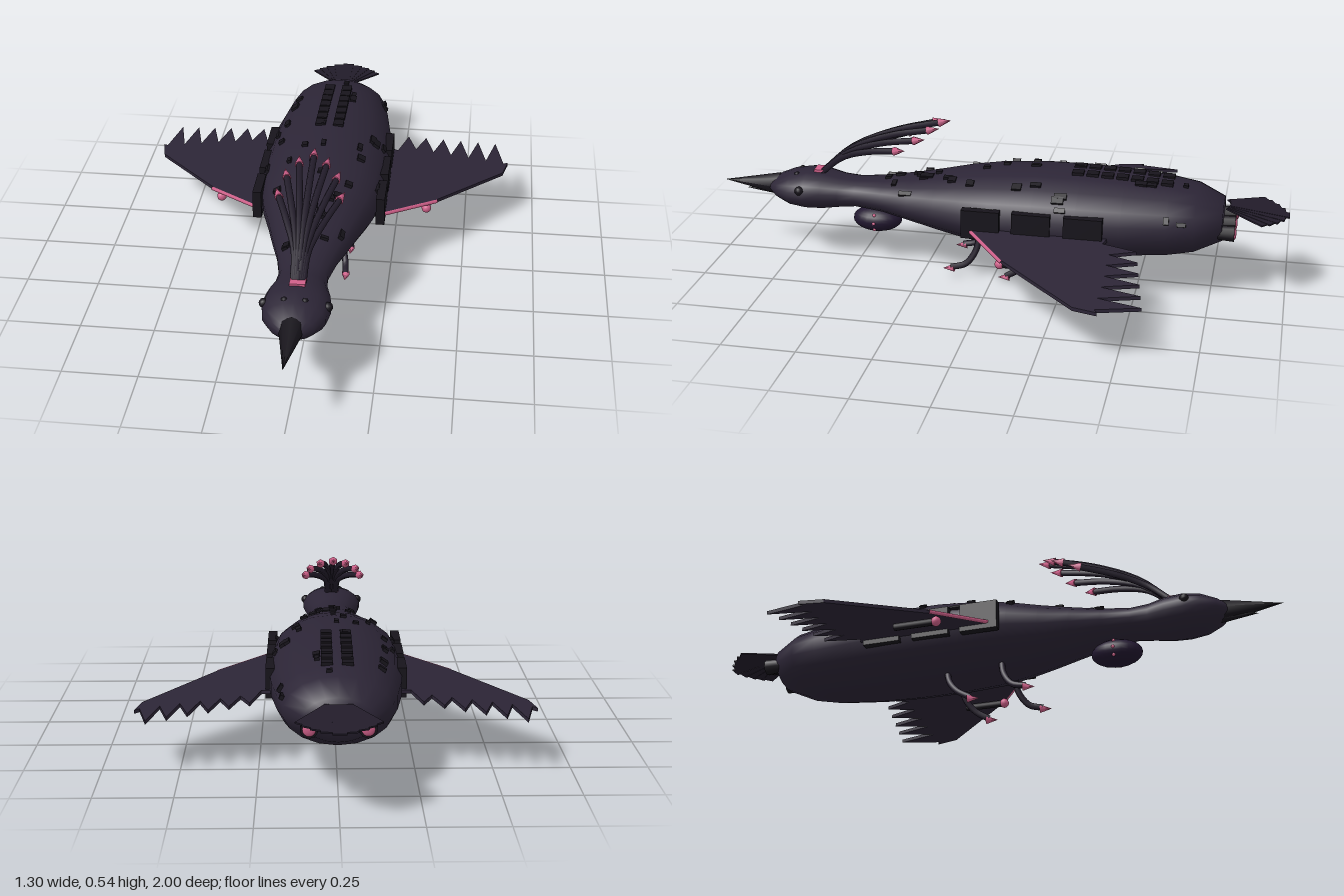
import * as THREE from 'three';
import { mergeVertices } from 'three/addons/utils/BufferGeometryUtils.js';

const V = (x, y, z) => new THREE.Vector3(x, y, z);
const mat = (color, extra = {}) => {
  const m = new THREE.MeshStandardMaterial({ color, ...extra });
  return m;
};

// Hull sections from tail to head: z, half width, bottom y, top y
const SECTIONS = [
  [-0.785, 0.001, 0.26, 0.262], [-0.78, 0.11, 0.19, 0.33], [-0.69, 0.17, 0.15, 0.37],
  [-0.6, 0.19, 0.132, 0.385], [-0.45, 0.212, 0.12, 0.396], [-0.3, 0.222, 0.116, 0.401],
  [-0.15, 0.222, 0.116, 0.4], [0, 0.212, 0.124, 0.388], [0.1, 0.19, 0.138, 0.373],
  [0.2, 0.158, 0.156, 0.352], [0.3, 0.13, 0.178, 0.333], [0.4, 0.1, 0.198, 0.317],
  [0.5, 0.08, 0.207, 0.309], [0.56, 0.085, 0.2, 0.314], [0.62, 0.102, 0.192, 0.327],
  [0.68, 0.11, 0.192, 0.33], [0.74, 0.1, 0.2, 0.32], [0.79, 0.07, 0.22, 0.3],
  [0.82, 0.035, 0.24, 0.28], [0.825, 0.001, 0.26, 0.262],
];

// Interpolated hull section: half width, centre y, half height
function sectionAt(z) {
  let i = 0;
  while (i < SECTIONS.length - 2 && SECTIONS[i + 1][0] < z) i++;
  const a = SECTIONS[i], b = SECTIONS[i + 1];
  const t = THREE.MathUtils.clamp((z - a[0]) / (b[0] - a[0]), 0, 1);
  const [w, lo, hi] = [1, 2, 3].map((k) => a[k] + (b[k] - a[k]) * t);
  return { w, cy: (lo + hi) / 2, h: (hi - lo) / 2 };
}

function hullGeometry() {
  const g = new THREE.LatheGeometry(SECTIONS.map((s) => new THREE.Vector2(s[1], s[0])), 18);
  g.rotateX(Math.PI / 2);
  g.deleteAttribute('uv');
  g.deleteAttribute('normal');
  const p = g.attributes.position;
  for (let i = 0; i < p.count; i++) {
    const s = sectionAt(p.getZ(i));
    p.setY(i, s.cy + (p.getY(i) * s.h) / s.w);
  }
  const merged = mergeVertices(g, 1e-5);
  merged.computeVertexNormals();
  return merged;
}

// Swept wing plate with a saw-tooth row of trailing feathers
function wingGeometry() {
  const s = new THREE.Shape();
  s.moveTo(0.15, -0.09);
  s.lineTo(0.22, -0.05);
  s.lineTo(0.4, 0.095);
  s.lineTo(0.63, 0.36);
  s.lineTo(0.648, 0.44);
  for (let i = 0; i < 6; i++) {
    s.lineTo(0.632 - i * 0.065, 0.43);
    s.lineTo(0.6 - i * 0.065, 0.572 - i * 0.011);
  }
  s.lineTo(0.242, 0.4);
  s.lineTo(0.15, 0.43);
  s.closePath();
  const g = new THREE.ExtrudeGeometry(s, { depth: 0.012, bevelEnabled: false });
  g.rotateX(-Math.PI / 2);
  // turn shape y into -z and droop towards the tip
  const p = g.attributes.position;
  for (let i = 0; i < p.count; i++) p.setY(i, p.getY(i) + wingY(p.getX(i)));
  g.computeVertexNormals();
  return g;
}
const wingY = (x) => 0.228 - (x - 0.22) * 0.125;

export function createModel() {
  const root = new THREE.Group();
  root.name = 'birdShip';
  const plum = mat(0x2c2536), dark = mat(0x17141b), pink = mat(0xd0608a);
  const feather = mat(0x221c2a), podMat = mat(0x21172f);

  const add = (name, geo, material, pos = [0, 0, 0], parent = root) => {
    const m = new THREE.Mesh(geo, material);
    m.name = name;
    m.position.set(...pos);
    parent.add(m);
    return m;
  };
  // Cone pointing along a direction, centred at a point
  const spike = (name, r, len, sides, at, dir, material, parent = root) => {
    const m = add(name, new THREE.ConeGeometry(r, len, sides), material, at.toArray(), parent);
    m.quaternion.setFromUnitVectors(V(0, 1, 0), dir.clone().normalize());
    return m;
  };

  add('hull', hullGeometry(), plum);

  // Beak
  spike('upperBeak', 0.042, 0.21, 8, V(0, 0.263, 0.895), V(0, 0, 1), dark);
  spike('lowerBeak', 0.022, 0.13, 8, V(0, 0.24, 0.855), V(0, -0.03, 1), dark);

  // Crest: seven curved plumes with glowing tips
  add('crestBase', new THREE.BoxGeometry(0.05, 0.014, 0.035), pink, [0, 0.328, 0.64]);
  const tips = [[0, 0.535, 0.2], [0.045, 0.52, 0.23], [0.082, 0.492, 0.27], [0.1, 0.455, 0.335]];
  tips.forEach(([x, y, z], i) => {
    for (const s of i ? [1, -1] : [1]) {
      const curve = new THREE.CatmullRomCurve3([
        V(s * i * 0.005, 0.32, 0.635), V(s * x * 0.22, 0.32 + (y - 0.32) * 0.5, 0.635 + (z - 0.635) * 0.28),
        V(s * x * 0.6, 0.32 + (y - 0.32) * 0.82, 0.635 + (z - 0.635) * 0.64), V(s * x, y, z),
      ]);
      add('crestPlume', new THREE.TubeGeometry(curve, 12, 0.011, 6), feather);
      const d = curve.getTangent(1);
      spike('crestTip', 0.016, 0.045, 6, V(s * x, y, z).addScaledVector(d, 0.015), d, pink);
    }
  });

  // Tail fan
  const tail = new THREE.Group();
  tail.name = 'tailFan';
  tail.position.set(0, 0.313, -0.8);
  tail.rotation.x = -0.13;
  root.add(tail);
  for (let i = -4; i <= 4; i++) {
    const len = 0.2 - Math.abs(i) * 0.012;
    const g = new THREE.BoxGeometry(0.042, 0.005, len).translate(0, 0, -len / 2);
    add('tailFeather', g, feather, [i * 0.006, -Math.abs(i) * 0.001, 0], tail).rotation.y = -i * 0.155;
  }

  // Row of engine nozzles
  for (let i = -2; i <= 2; i++) {
    const x = i * 0.044, y = 0.28 - Math.abs(i) * 0.018;
    add('nozzle', new THREE.CylinderGeometry(0.024, 0.028, 0.06, 10).rotateX(Math.PI / 2), dark, [x, y, -0.792]);
    add('nozzleGlow', new THREE.SphereGeometry(0.022, 10, 8).scale(1, 1, 0.4), pink, [x, y, -0.82]);
  }

  // Pod slung below the neck
  add('pod', new THREE.SphereGeometry(1, 20, 14).scale(0.06, 0.045, 0.088), podMat, [0, 0.16, 0.435]);
  add('podMount', new THREE.CylinderGeometry(0.022, 0.022, 0.05, 8), dark, [0, 0.205, 0.435]);

  // Twin rows of roof hatches
  for (let i = 0; i < 7; i++) for (const x of [-0.032, 0.032]) {
    const z = -0.285 - i * 0.0505, s = sectionAt(z);
    add('roofHatch', new THREE.BoxGeometry(0.036, 0.012, 0.04), dark, [x, s.cy + s.h - 0.002, z]);
  }

  // Everything paired left and right
  const wing = wingGeometry();
  for (const side of [1, -1]) {
    const half = new THREE.Group();
    half.name = side > 0 ? 'leftSide' : 'rightSide';
    half.scale.x = side;
    root.add(half);

    add('wing', wing, plum, [0, 0, 0], half);
    const edge = new THREE.LineCurve3(V(0.22, wingY(0.22) + 0.006, 0.052), V(0.4, wingY(0.4) + 0.006, -0.093));
    add('wingEdgeGlow', new THREE.TubeGeometry(edge, 1, 0.007, 6), pink, [0, 0, 0], half);

    // Gun below the wing
    add('wingGun', new THREE.CylinderGeometry(0.013, 0.013, 0.14, 8).rotateX(Math.PI / 2), dark, [0.365, 0.19, -0.155], half);
    add('gunTip', new THREE.SphereGeometry(0.017, 10, 8), pink, [0.365, 0.19, -0.08], half);

    for (const z of [0.017, -0.155, -0.33])
      add('sidePanel', new THREE.BoxGeometry(0.03, 0.1, 0.13), dark, [0.213, 0.26, z], half);

    add('eye', new THREE.SphereGeometry(0.016, 10, 8), dark, [0.1, 0.28, 0.69], half);
    add('browSensor', new THREE.SphereGeometry(0.012, 8, 6), dark, [0.032, 0.313, 0.717], half);
    for (const y of [0.135, 0.16, 0.187])
      add('podLight', new THREE.SphereGeometry(0.006, 8, 6), pink,
        [0.06 * Math.sqrt(1 - ((y - 0.16) / 0.045) ** 2), y, 0.435], half);

    // Curved legs with claw tips
    for (const [z, foot] of [[0.05, 0.035], [-0.145, 0.018]]) {
      const leg = new THREE.CatmullRomCurve3([
        V(0.072, 0.155, z), V(0.085, 0.1, z + 0.012), V(0.097, 0.055, z + 0.045), V(0.102, foot + 0.005, z + 0.095),
      ]);
      add('leg', new THREE.TubeGeometry(leg, 12, 0.011, 8), feather, [0, 0, 0], half);
      spike('claw', 0.015, 0.04, 6, V(0.102, foot, z + 0.105), V(0, -0.1, 1), pink, half);
    }
  }

  // Small hull fittings scattered by a seeded sequence
  let seed = 11;
  const rnd = () => (seed = (seed * 16807) % 2147483647) / 2147483647;
  for (let i = 0; i < 40; i++) {
    const z = -0.65 + rnd() * 1.05, a = 0.25 + rnd() * (Math.PI - 0.5), s = sectionAt(z);
    const g = new THREE.BoxGeometry(0.014 + rnd() * 0.014, 0.014, 0.015 + rnd() * 0.03);
    const m = add('hullFitting', g, dark, [Math.cos(a) * s.w, s.cy + Math.sin(a) * s.h, z]);
    m.rotation.z = Math.atan2(Math.sin(a) / s.h, Math.cos(a) / s.w) - Math.PI / 2;
  }
  return root;
}
